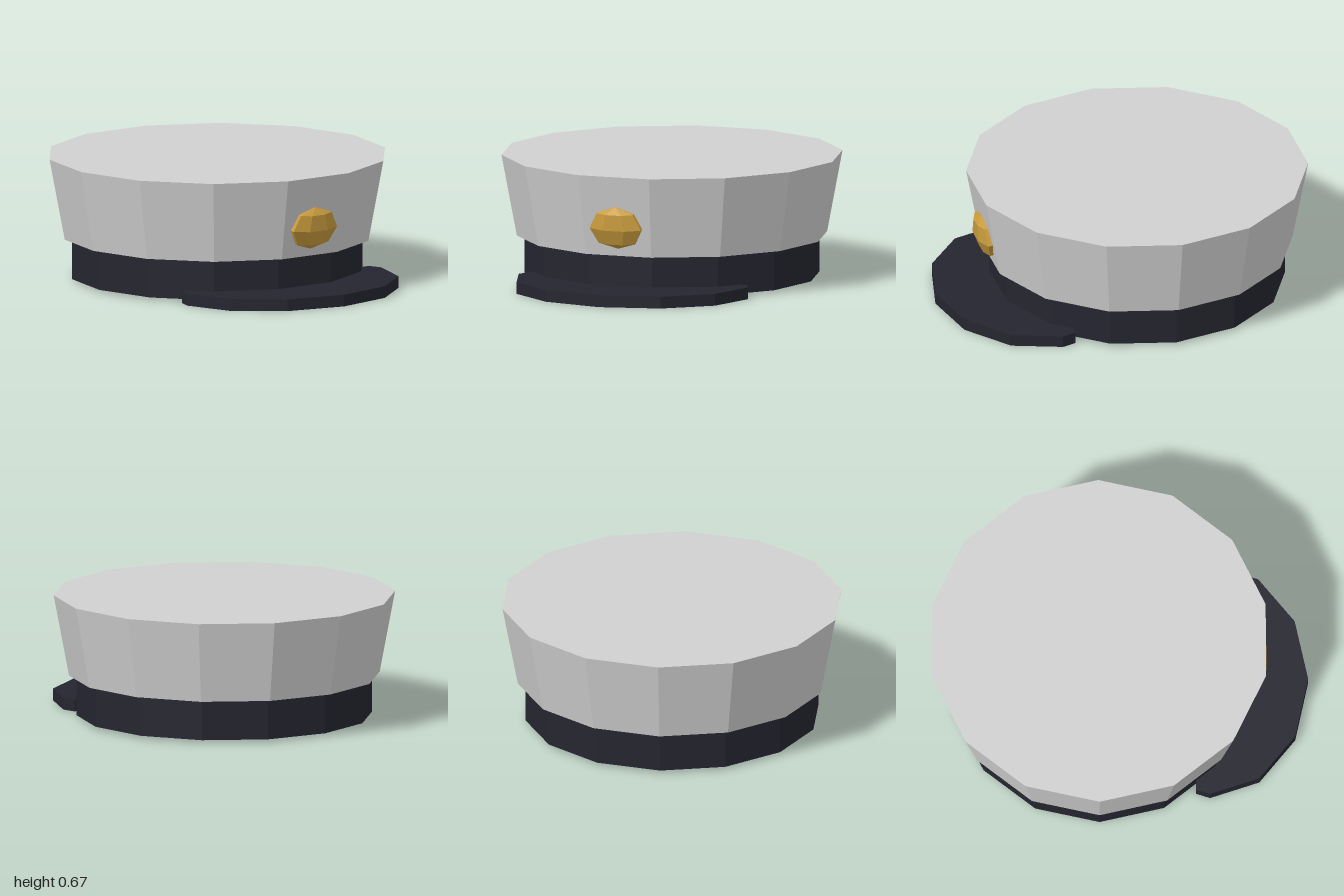
import * as THREE from 'three';

const SIDES = 14;
const CENTRE_X = -0.112;

function material(name, color) {
  const m = new THREE.MeshStandardMaterial({ color, flatShading: true });
  m.name = name;
  return m;
}

function part(name, geometry, mat) {
  const mesh = new THREE.Mesh(geometry, mat);
  mesh.name = name;
  return mesh;
}

// Fourteen-sided drum between two heights
function drum(name, rTop, rBottom, y0, y1, mat) {
  const geo = new THREE.CylinderGeometry(rTop, rBottom, y1 - y0, SIDES);
  const mesh = part(name, geo, mat);
  mesh.position.set(CENTRE_X, (y0 + y1) / 2, 0);
  return mesh;
}

export function createModel() {
  const light = material('light grey cloth', 0xd0d0d0);
  const navy = material('dark navy', 0x252530);
  const gold = material('gold', 0xc89b3c);

  const group = new THREE.Group();
  group.name = 'peakedCap';

  // Flared crown above a straight band
  group.add(drum('crown', 0.91, 0.828, 0.23, 0.665, light));
  group.add(drum('band', 0.788, 0.788, 0.015, 0.235, navy));

  // Flat visor: a twelve-sided oval cut straight at the back
  const outline = [[0.4, -0.625]];
  for (let i = -3; i <= 3; i++) {
    const a = (i * Math.PI) / 6;
    outline.push([0.475 + 0.525 * Math.cos(a), 0.65 * Math.sin(a)]);
  }
  outline.push([0.4, 0.625]);
  const shape = new THREE.Shape(outline.map(([x, z]) => new THREE.Vector2(x, z)));
  const visorGeo = new THREE.ExtrudeGeometry(shape, { depth: 0.063, bevelEnabled: false });
  visorGeo.rotateX(-Math.PI / 2);
  group.add(part('visor', visorGeo, navy));

  // Faceted badge leaning with the crown wall
  const badgeGeo = new THREE.SphereGeometry(1, 8, 4);
  badgeGeo.rotateY(Math.PI / 8);
  badgeGeo.scale(0.06, 0.117, 0.157);
  const badge = part('badge', badgeGeo, gold);
  badge.position.set(0.725, 0.385, 0);
  badge.rotation.z = -0.18;
  group.add(badge);

  return group;
}
